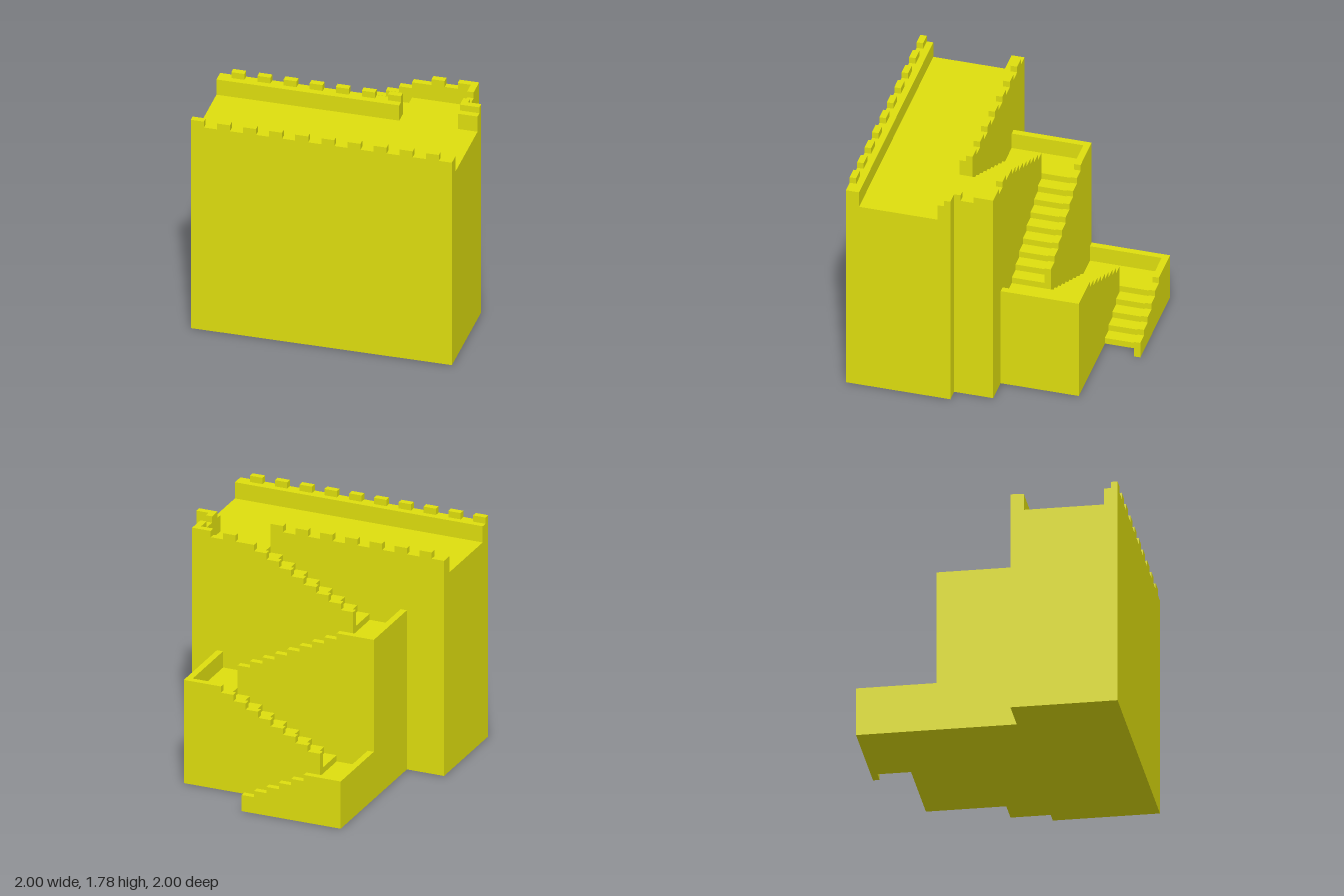
import * as THREE from 'three';

const RAIL = 0.13;    // parapet height above the floor it guards
const RISE = 0.05, TREAD = 0.1, DROP = 0.45;
const ROOF = 1.6;

export function createModel() {
  const model = new THREE.Group();
  model.name = 'stairBuilding';
  const material = new THREE.MeshStandardMaterial({ color: 0xdede0e });

  const add = (name, geometry, parent = model) => {
    const mesh = new THREE.Mesh(geometry, material);
    mesh.name = name;
    parent.add(mesh);
    return mesh;
  };

  // Box given by its limits on each axis
  const box = (name, [x0, x1], [y0, y1], [z0, z1], parent) => {
    const g = new THREE.BoxGeometry(x1 - x0, y1 - y0, z1 - z0);
    g.translate((x0 + x1) / 2, (y0 + y1) / 2, (z0 + z1) / 2);
    return add(name, g, parent);
  };

  // Solid stepped wall: runs are [end position, height], dir maps them onto x
  const stepped = (name, dir, start, runs, z0, z1, parent) => {
    const pts = [new THREE.Vector2(dir * start, 0)];
    let u = start;
    for (const [end, h] of runs) {
      pts.push(new THREE.Vector2(dir * u, h), new THREE.Vector2(dir * end, h));
      u = end;
    }
    pts.push(new THREE.Vector2(dir * u, 0));
    const g = new THREE.ExtrudeGeometry(new THREE.Shape(pts), { depth: z1 - z0, bevelEnabled: false });
    g.translate(0, 0, z0);
    return add(name, g, parent);
  };

  // Main block with front and rear parapets
  const top = ROOF + RAIL;
  const merlonY = [top, top + 0.05];
  box('mainBlock', [-1, 1], [0, ROOF], [0.2, 1]);
  box('frontParapet', [-1, 1], [ROOF, top], [0.9, 1]);
  box('rearParapet', [-1, 0.4], [ROOF, top], [0.2, 0.3]);
  box('cornerParapet', [0.85, 1], [ROOF, top], [0.2, 0.3]);

  // Merlons along the roof edges
  const merlons = new THREE.Group();
  merlons.name = 'merlons';
  model.add(merlons);
  for (let i = 0; i < 10; i++) {
    const x = -1 + i * 0.2;
    box('frontMerlon', [x, x + 0.1], merlonY, [0.95, 1], merlons);
    if (i < 7 || i === 9) box('rearMerlon', [x + 0.1, x + 0.2], merlonY, [0.2, 0.25], merlons);
  }
  box('landingMerlon', [0.55, 0.65], merlonY, [-0.1, -0.05], merlons);
  box('landingCornerMerlon', [0.75, 0.9], merlonY, [-0.1, -0.05], merlons);
  box('landingSideMerlon', [0.85, 0.9], merlonY, [-0.05, 0.05], merlons);
  box('landingInnerMerlon', [0.85, 0.9], merlonY, [0.15, 0.25], merlons);

  // Four flights zigzagging down the back, each with landings and a stepped parapet
  for (let k = 0; k < 4; k++) {
    const flight = new THREE.Group();
    flight.name = 'flight' + (k + 1);
    model.add(flight);
    const dir = k % 2 ? 1 : -1;
    const last = k === 3;
    const high = ROOF - k * DROP, low = high - DROP;
    const start = k === 0 ? -0.9 : -0.7;
    const back = -0.1 - 0.3 * k;

    const stairs = [[start + 0.05, high + RAIL], [-0.4, high]];
    const parapet = [[-0.4, high + RAIL]];
    for (let i = 1; i <= (last ? 4 : 8); i++) {
      const end = -0.4 + i * TREAD, h = high - i * RISE;
      stairs.push([end, h]);
      parapet.push([end, h + RAIL]);
    }
    if (last) {
      parapet.push([0.1, RAIL]);
    } else {
      const landing = [[0.65, low], [0.7, low + RAIL]];
      stairs.push(...landing);
      parapet.push(...landing);
    }
    stepped('stairs', dir, start, stairs, back + 0.05, back + 0.3, flight);
    stepped('stairParapet', dir, start, parapet, back, back + 0.05, flight);
  }
  return model;
}
